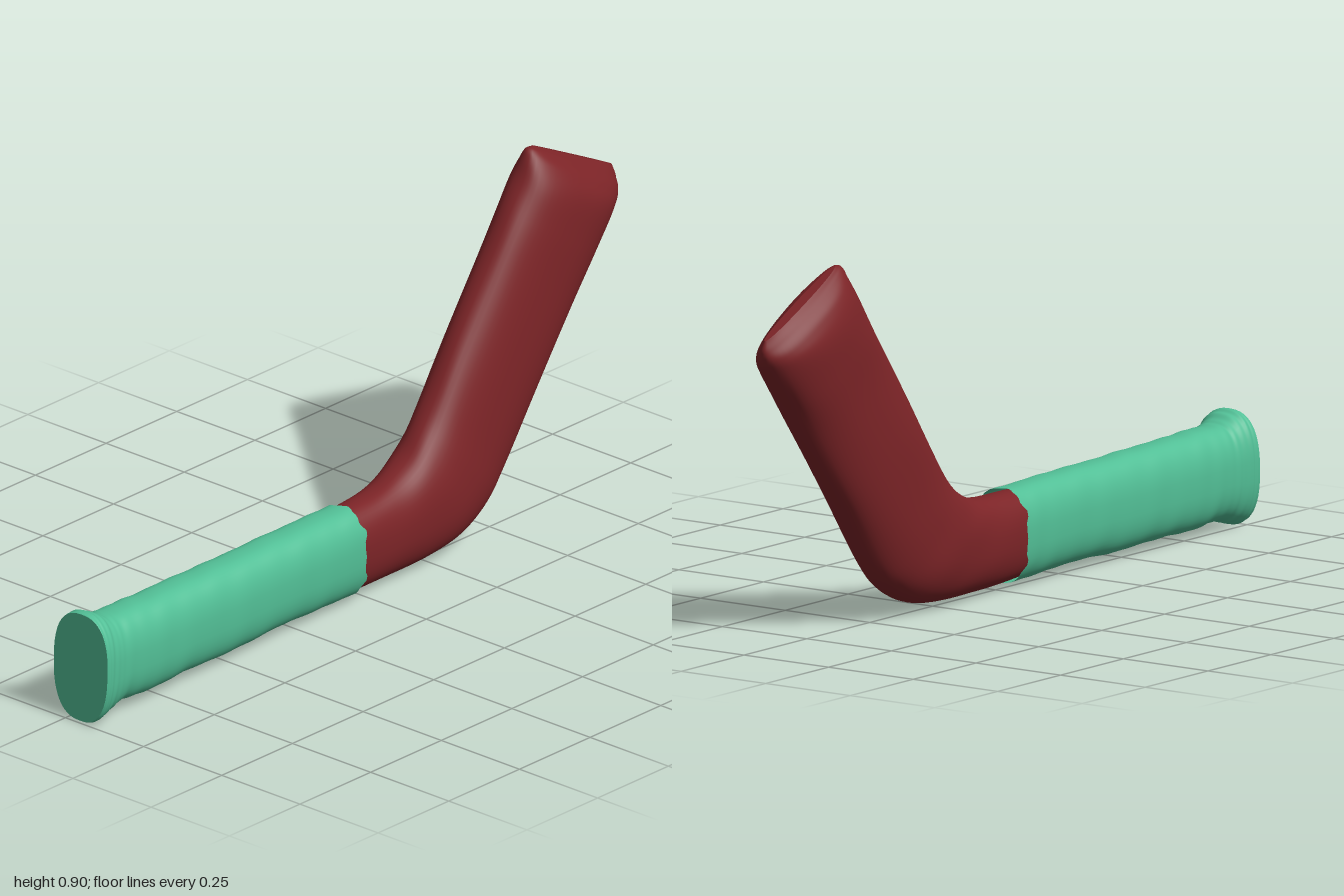
import * as THREE from 'three';

const SIDES = 48;

// Lofts rounded cross-sections. Row: [bottomX, bottomY, topX, topY, zCentre, zHalf]
function loft(rows, steps, power, offset) {
  const curve = (f) => new THREE.CatmullRomCurve3(rows.map((r) => new THREE.Vector3(...f(r))), false, 'catmullrom', 0.5);
  const low = curve((r) => [r[0], r[1], 0]);
  const high = curve((r) => [r[2], r[3], 0]);
  const depth = curve((r) => [r[4], r[5], 0]);
  const pos = [], index = [];
  for (let i = 0; i <= steps; i++) {
    const t = i / steps;
    const b = low.getPoint(t), h = high.getPoint(t), d = depth.getPoint(t);
    const mid = b.clone().add(h).multiplyScalar(0.5);
    const half = h.clone().sub(b).multiplyScalar(0.5);
    for (let j = 0; j < SIDES; j++) {
      const a = (j / SIDES) * Math.PI * 2;
      const round = (v) => Math.sign(v) * Math.pow(Math.abs(v), 2 / power);
      const o = offset(t, a);
      const c = round(Math.cos(a)), s = round(Math.sin(a));
      pos.push(mid.x + half.x * c * o.scale + o.dx, mid.y + half.y * c * o.scale, d.x + d.y * s * o.scale);
    }
  }
  for (let i = 0; i < steps; i++) {
    for (let j = 0; j < SIDES; j++) {
      const k = (j + 1) % SIDES;
      const p = i * SIDES + j, q = i * SIDES + k;
      index.push(p, q, p + SIDES, q, q + SIDES, p + SIDES);
    }
  }
  const geo = new THREE.BufferGeometry();
  geo.setAttribute('position', new THREE.Float32BufferAttribute(pos, 3));
  geo.setIndex(index);
  geo.computeVertexNormals();
  return geo;
}

// Flat fan closing the first or last ring of a loft
function endCap(geo, last) {
  const p = geo.attributes.position;
  const start = last ? p.count - SIDES : 0;
  const ring = [], centre = new THREE.Vector3();
  for (let j = 0; j < SIDES; j++) {
    ring.push(new THREE.Vector3().fromBufferAttribute(p, start + j));
    centre.addScaledVector(ring[j], 1 / SIDES);
  }
  const pts = [];
  ring.forEach((v, j) => {
    const w = ring[(j + 1) % SIDES];
    pts.push(...(last ? [centre, v, w] : [centre, w, v]));
  });
  const cap = new THREE.BufferGeometry().setFromPoints(pts);
  cap.computeVertexNormals();
  return cap;
}

export function createModel() {
  const group = new THREE.Group();
  const wood = new THREE.MeshStandardMaterial({ color: 0x7c2427, side: THREE.DoubleSide });
  const tape = new THREE.MeshStandardMaterial({ color: 0x52bf96, side: THREE.DoubleSide });
  const add = (name, geo, mat) => {
    const mesh = new THREE.Mesh(geo, mat);
    mesh.name = name;
    group.add(mesh);
  };

  // Bent body, thinning to a narrow ridge at the tip
  const body = loft([
    [-0.12, 0.018, -0.12, 0.228, 0.015, 0.064],
    [-0.03, 0.014, -0.03, 0.23, 0.012, 0.068],
    [0.10, 0.012, 0.07, 0.235, 0.008, 0.072],
    [0.24, 0.013, 0.14, 0.25, 0.002, 0.08],
    [0.36, 0.028, 0.20, 0.28, -0.004, 0.086],
    [0.46, 0.075, 0.25, 0.325, -0.01, 0.083],
    [0.54, 0.145, 0.31, 0.395, -0.018, 0.079],
    [0.66, 0.295, 0.40, 0.51, -0.028, 0.079],
    [0.80, 0.47, 0.52, 0.665, -0.036, 0.078],
    [0.89, 0.585, 0.60, 0.77, -0.042, 0.082],
    [0.96, 0.67, 0.65, 0.835, -0.045, 0.081],
    [0.99, 0.705, 0.68, 0.88, -0.049, 0.063],
    [0.998, 0.735, 0.695, 0.902, -0.053, 0.036],
    [0.992, 0.765, 0.715, 0.903, -0.056, 0.014],
  ], 104, 2.3, (t, a) => ({
    dx: 0,
    scale: 1 + 0.008 * Math.sin(t * 31 + 2 * a) * Math.sin(3 * a + t * 9),
  }));
  add('body', body, wood);
  add('bodyTip', endCap(body, true), wood);

  // Wrapped grip with wrinkles, a flared butt and a ragged inner edge
  const grip = loft([
    [-0.995, 0.004, -0.99, 0.278, 0.042, 0.086],
    [-0.975, 0.003, -0.965, 0.278, 0.041, 0.085],
    [-0.94, 0.012, -0.93, 0.258, 0.039, 0.079],
    [-0.89, 0.024, -0.89, 0.252, 0.037, 0.076],
    [-0.80, 0.016, -0.80, 0.25, 0.035, 0.076],
    [-0.66, 0.018, -0.66, 0.247, 0.031, 0.074],
    [-0.50, 0.014, -0.50, 0.244, 0.027, 0.074],
    [-0.33, 0.018, -0.33, 0.242, 0.023, 0.073],
    [-0.17, 0.014, -0.17, 0.24, 0.018, 0.073],
    [-0.04, 0.009, -0.04, 0.237, 0.014, 0.073],
  ], 110, 2.5, (t, a) => ({
    dx: Math.pow(t, 30) * (0.012 * Math.sin(a) + 0.005 * Math.sin(7 * a) + 0.004 * Math.sin(13 * a)),
    scale: 1 + (1 - 0.5 * t) * (0.013 * Math.sin(42 * t + a) * Math.sin(2 * a + 11 * t) + 0.008 * Math.sin(90 * t + 2 * a)),
  }));
  add('grip', grip, tape);
  add('gripButt', endCap(grip, false), tape);

  return group;
}
